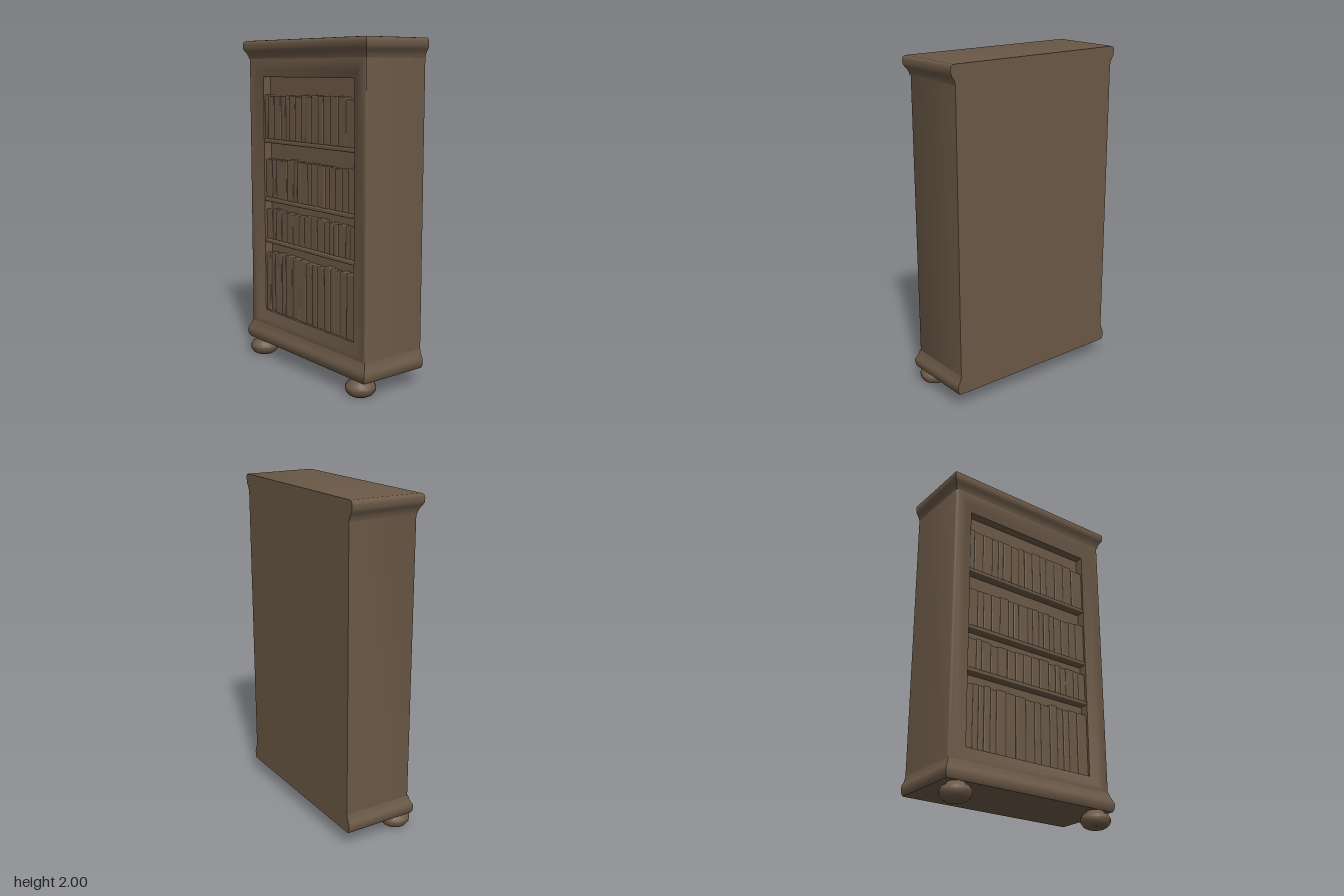
import * as THREE from 'three';
import { toCreasedNormals } from 'three/addons/utils/BufferGeometryUtils.js';
import { RoundedBoxGeometry } from 'three/addons/geometries/RoundedBoxGeometry.js';

const wood = new THREE.MeshStandardMaterial({ color: 0x6b5947 });
wood.name = 'brown wood';

const BACK = -0.24, FRONT = 0.19, HALF = 0.558;

// Skin a stack of four-cornered loops and cap both ends
function loft(loops) {
  const pos = [];
  const quad = (a, b, c, d) => pos.push(...a, ...b, ...c, ...a, ...c, ...d);
  for (let i = 0; i < loops.length - 1; i++) {
    for (let j = 0; j < 4; j++) {
      const k = (j + 1) % 4;
      quad(loops[i][j], loops[i][k], loops[i + 1][k], loops[i + 1][j]);
    }
  }
  quad(...[...loops[0]].reverse());
  quad(...loops[loops.length - 1]);
  const geo = new THREE.BufferGeometry();
  geo.setAttribute('position', new THREE.Float32BufferAttribute(pos, 3));
  geo.computeVertexNormals();
  return toCreasedNormals(geo, 0.75);
}

// Horizontal loop: overhangs front and sides, flush at the back
const slab = ([out, y]) => {
  const x = HALF + out, z = FRONT + out;
  return [[x, y, z], [x, y, BACK], [-x, y, BACK], [-x, y, z]];
};

// Upright loop facing forward
const pane = ([x, y0, y1, z]) => [[-x, y0, z], [x, y0, z], [x, y1, z], [-x, y1, z]];

function seeded(seed) {
  return () => (seed = (seed * 16807) % 2147483647) / 2147483647;
}

export function createModel() {
  const model = new THREE.Group();
  const add = (name, geo, x = 0, y = 0, z = 0, parent = model) => {
    const mesh = new THREE.Mesh(geo, wood);
    mesh.name = name;
    mesh.position.set(x, y, z);
    parent.add(mesh);
    return mesh;
  };

  // Case with a bevelled front frame and a recess for the shelves
  add('case', loft([
    [HALF, 0.19, 1.92, BACK],
    [HALF, 0.19, 1.92, 0.18],
    [HALF - 0.004, 0.194, 1.916, 0.187],
    [HALF - 0.012, 0.2, 1.91, FRONT],
    [0.5, 0.235, 1.845, FRONT],
    [0.485, 0.25, 1.83, 0.185],
    [0.445, 0.29, 1.79, 0.172],
    [0.435, 0.3, 1.78, 0.168],
    [0.435, 0.3, 1.78, 0.115],
  ].map(pane)));

  // Plinth and cornice mouldings
  add('plinth', loft([
    [0.012, 0.1], [0.02, 0.115], [0.024, 0.14], [0.022, 0.155],
    [0.014, 0.172], [0.006, 0.19], [0, 0.215],
  ].map(slab)));
  add('cornice', loft([
    [0, 1.89], [0.004, 1.908], [0.012, 1.925], [0.022, 1.94], [0.027, 1.952],
    [0.028, 1.975], [0.026, 1.988], [0.019, 1.997], [0.01, 2],
  ].map(slab)));

  // Two bun feet under the front corners
  const bun = [[0, 0], [0.05, 0], [0.074, 0.014], [0.088, 0.036], [0.09, 0.054],
    [0.08, 0.074], [0.058, 0.09], [0.045, 0.105], [0, 0.105]]
    .map(([r, y]) => new THREE.Vector2(r, y));
  for (const side of [-1, 1]) {
    add(side < 0 ? 'rightFoot' : 'leftFoot',
      toCreasedNormals(new THREE.LatheGeometry(bun, 14), 0.7), side * 0.48, 0, 0.152);
  }

  // Shelf boards
  for (const y of [1.389, 1.021, 0.757]) {
    add('shelf', new RoundedBoxGeometry(0.87, 0.026, 0.06, 2, 0.008), 0, y, 0.139);
  }

  // Rows of book spines, uneven in width, height and depth
  const random = seeded(41);
  for (const [bottom, top] of [[1.4, 1.68], [1.032, 1.29], [0.768, 0.965], [0.3, 0.69]]) {
    const row = new THREE.Group();
    row.name = 'bookRow';
    model.add(row);
    let x = -0.435;
    while (x < 0.43) {
      let width = 0.035 + 0.035 * random();
      if (0.435 - x - width < 0.03) width = 0.435 - x;
      const height = top - bottom - 0.018 * random();
      const depth = 0.045 + 0.006 * random();
      add('book', new RoundedBoxGeometry(width, height, depth, 2, 0.006),
        x + width / 2, bottom + height / 2, 0.11 + depth / 2, row);
      x += width;
    }
  }
  return model;
}
